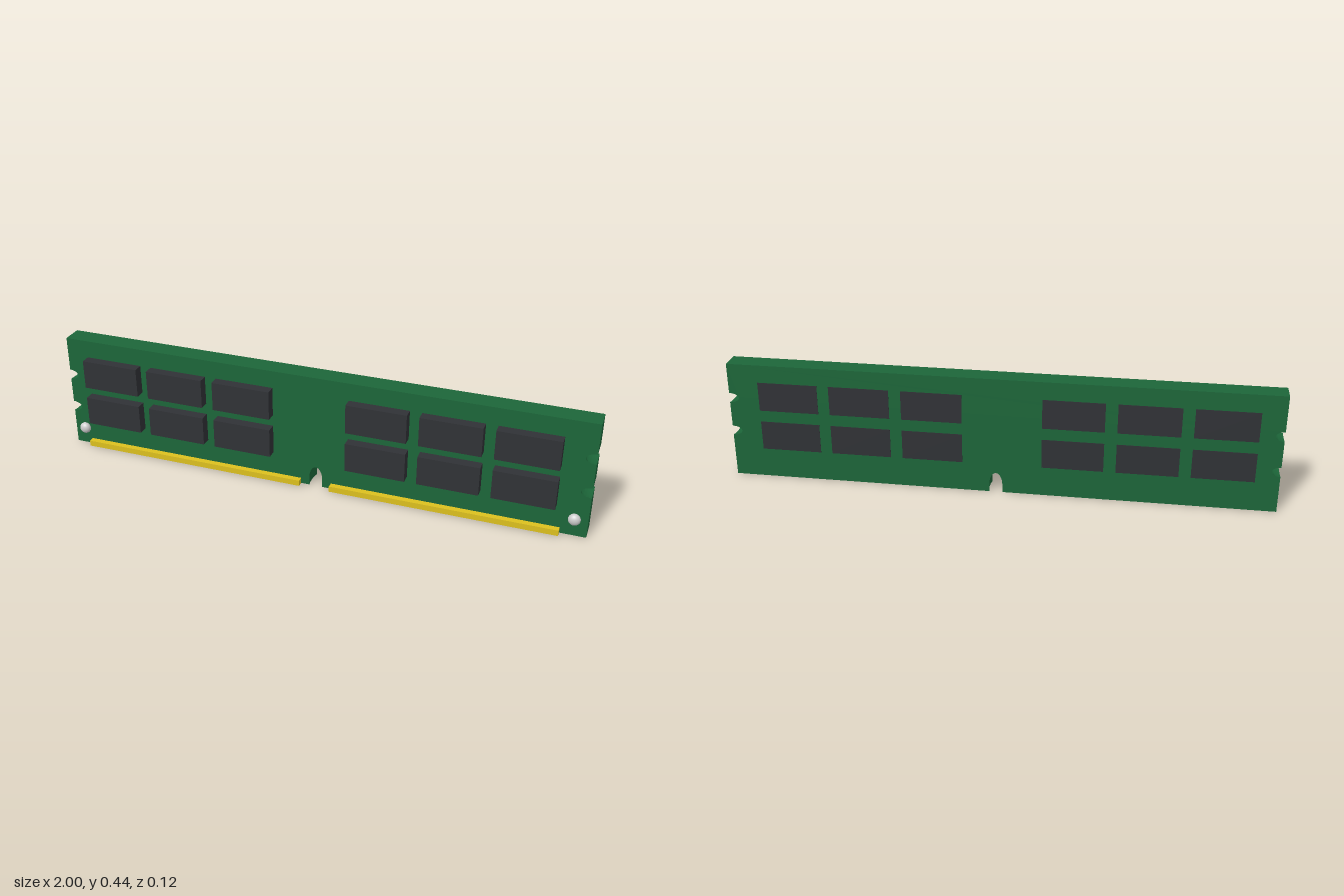
import * as THREE from 'three';
import { toCreasedNormals } from 'three/addons/utils/BufferGeometryUtils.js';

const HEIGHT = 0.445, BACK = -0.058, FRONT = 0.02;

// edge notches: centre and half sizes
const NOTCHES = [
  { x: 1, y: 0.18, rx: 0.043, ry: 0.022 },
  { x: 1, y: 0.312, rx: 0.043, ry: 0.022 },
  { x: -1, y: 0.293, rx: 0.038, ry: 0.022 },
  { x: -1, y: 0.157, rx: 0.038, ry: 0.022 },
];
const KEY = { x: 0.008, y: 0.03, rx: 0.029, ry: 0.056 };

function material(color) {
  return new THREE.MeshStandardMaterial({ color });
}

function boardGeometry() {
  const s = new THREE.Shape();
  s.moveTo(-1, 0);
  // key slot in the bottom edge
  s.lineTo(KEY.x - KEY.rx, 0);
  s.lineTo(KEY.x - KEY.rx, KEY.y);
  s.absellipse(KEY.x, KEY.y, KEY.rx, KEY.ry, Math.PI, 0, true);
  s.lineTo(KEY.x + KEY.rx, 0);
  s.lineTo(1, 0);
  // latch notches, up the left edge and down the right edge
  for (const n of NOTCHES) {
    if (n.x < 0 && n.y > 0.2) {
      s.lineTo(1, HEIGHT);
      s.lineTo(-1, HEIGHT);
    }
    const start = n.x > 0 ? -Math.PI / 2 : Math.PI / 2;
    s.absellipse(n.x, n.y, n.rx, n.ry, start, -start, true);
  }
  s.closePath();
  const geo = new THREE.ExtrudeGeometry(s, {
    depth: FRONT - BACK, steps: 8, bevelEnabled: false, curveSegments: 20,
  });
  geo.translate(0, 0, BACK);

  // notches swell towards the middle of the thickness
  const p = geo.attributes.position;
  for (let i = 0; i < p.count; i++) {
    const x = p.getX(i), y = p.getY(i), z = p.getZ(i);
    const f = Math.sqrt(1 - ((z + 0.016) / 0.075) ** 2);
    for (const n of [...NOTCHES, KEY]) {
      if (Math.abs(x - n.x) < n.rx + 0.005 && Math.abs(y - n.y) < n.ry + 0.005) {
        p.setX(i, n.x + (x - n.x) * f);
        if (y > 0.001) p.setY(i, n.y + (y - n.y) * f);
      }
    }
  }
  return toCreasedNormals(geo, 0.6);
}

export function createModel() {
  const group = new THREE.Group();
  const green = material(0x1c6639);
  const dark = material(0x303236);
  const gold = material(0xdcc01e);
  const grey = material(0xcccccc);

  function add(name, geo, mat, x, y, z) {
    const mesh = new THREE.Mesh(geo, mat);
    mesh.name = name;
    mesh.position.set(x, y, z);
    group.add(mesh);
    return mesh;
  }

  add('circuitBoard', boardGeometry(), green, 0, 0, 0);

  // chips pass through the board and sit almost flush at the back
  const chip = new THREE.BoxGeometry(0.223, 0.111, 0.1175);
  for (const x of [-0.803, -0.537, -0.27, 0.243, 0.51, 0.776]) {
    for (const y of [0.1675, 0.3225]) add('memoryChip', chip, dark, x, y, -0.0005);
  }

  // contact strips on either side of the key slot
  for (const [x0, x1] of [[-0.933, -0.05], [0.067, 0.907]]) {
    const strip = new THREE.BoxGeometry(x1 - x0, 0.022, 0.033);
    add('contactStrip', strip, gold, (x0 + x1) / 2, 0.011, 0.0265);
  }

  // rivets in the lower corners
  for (const x of [-0.957, 0.953]) {
    add('rivet', new THREE.SphereGeometry(1, 24, 16), grey, x, 0.068, 0.026)
      .scale.set(0.022, 0.022, 0.017);
  }
  return group;
}
